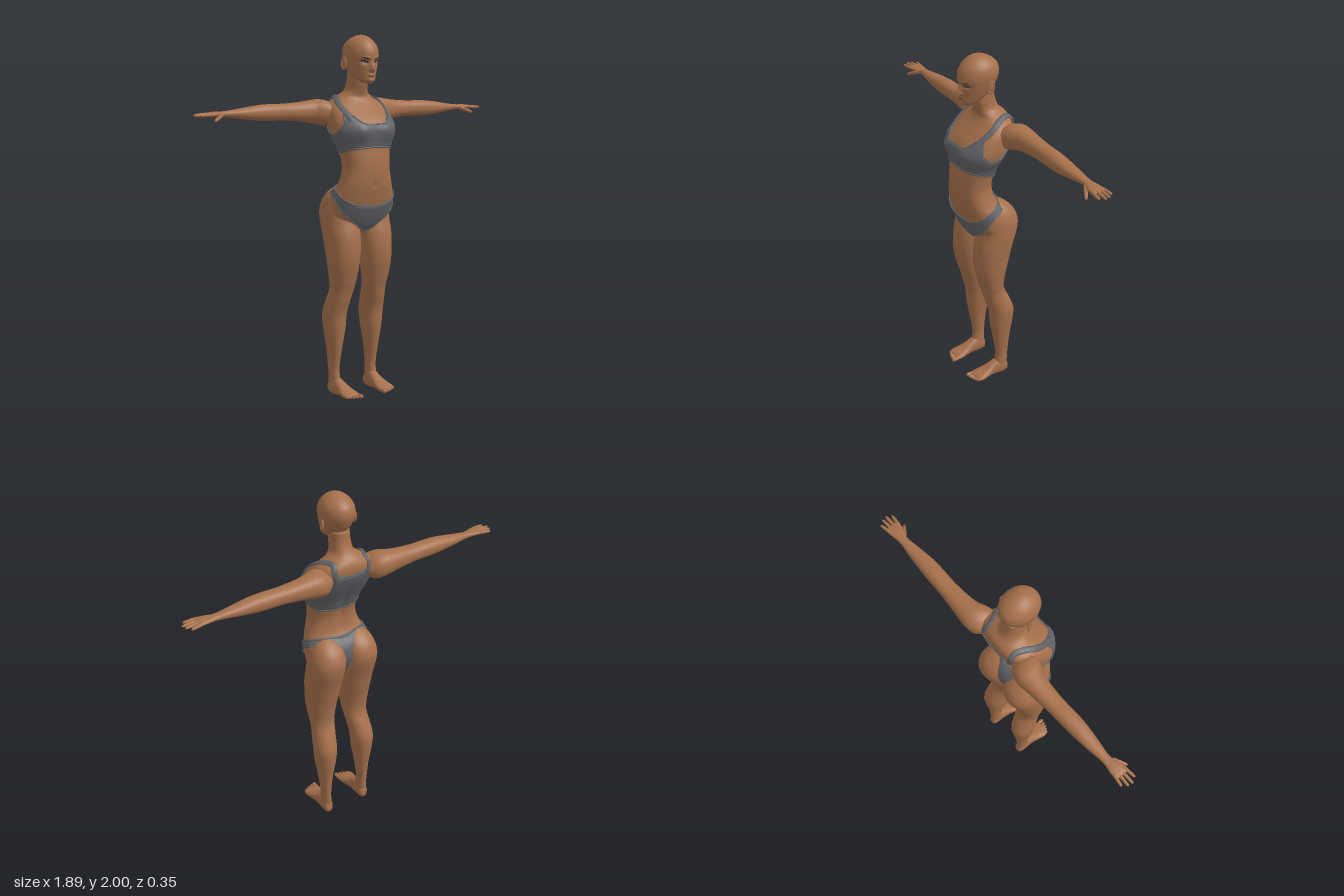
import * as THREE from 'three';

const mat = (name, color, side = THREE.FrontSide) => {
  const m = new THREE.MeshStandardMaterial({ color, side });
  m.name = name;
  return m;
};

// Smooth interpolation of rows [t, ...values] at t
function sample(rows, t) {
  const last = rows.length - 1;
  t = Math.min(Math.max(t, rows[0][0]), rows[last][0]);
  let i = 0;
  while (i < last - 1 && t > rows[i + 1][0]) i++;
  const a = rows[i], b = rows[i + 1], h = b[0] - a[0], s = (t - a[0]) / h;
  const slope = (j, k) => {
    const p = rows[Math.max(j - 1, 0)], q = rows[Math.min(j + 1, last)];
    return (q[k] - p[k]) / (q[0] - p[0]);
  };
  return a.map((_, k) => k === 0 ? t :
    (2 * s ** 3 - 3 * s * s + 1) * a[k] + (s ** 3 - 2 * s * s + s) * h * slope(i, k)
    + (3 * s * s - 2 * s ** 3) * b[k] + (s ** 3 - s * s) * h * slope(i + 1, k));
}

// Grid of points fn(row, col); closed grids wrap around the columns
function grid(nRows, nCols, fn, closed = true) {
  const pos = [], idx = [], w = closed ? nCols : nCols + 1;
  for (let i = 0; i <= nRows; i++)
    for (let j = 0; j < w; j++) pos.push(...fn(i, j).toArray());
  for (let i = 0; i < nRows; i++)
    for (let j = 0; j < nCols; j++) {
      const k = (j + 1) % w, a = i * w + j, b = i * w + k;
      idx.push(a, b, a + w, b, b + w, a + w);
    }
  const g = new THREE.BufferGeometry();
  g.setAttribute('position', new THREE.Float32BufferAttribute(pos, 3));
  g.setIndex(idx);
  g.computeVertexNormals();
  return g;
}

// Body surface: rows are [t, a0, a1, b0, b1], bounds of the cross-section.
// axis y: a = z, b = x; axis x: a = y, b = z; axis z: a = x, b = y
function surface(rows, axis, n = 2, shape = null) {
  const pow = v => Math.sign(v) * Math.abs(v) ** (2 / n);
  const f = (t, ang, scale = 1) => {
    const [u, a0, a1, b0, b1] = sample(rows, t);
    const a = (a0 + a1) / 2 + (a1 - a0) / 2 * pow(Math.cos(ang)) * scale;
    const b = (b0 + b1) / 2 + (b1 - b0) / 2 * pow(Math.sin(ang)) * scale;
    const p = axis === 'y' ? new THREE.Vector3(b, u, a)
      : axis === 'x' ? new THREE.Vector3(u, a, b) : new THREE.Vector3(a, b, u);
    if (shape) shape(p, ang);
    return p;
  };
  f.rows = rows;
  f.normal = (t, ang) => {
    const e = 0.004, dt = f(t + e, ang).sub(f(t - e, ang));
    return f(t, ang + e).sub(f(t, ang - e)).cross(dt).normalize();
  };
  return f;
}

// Closed skin over a surface
function skinOf(f, cols, per) {
  const r = f.rows, n = (r.length - 1) * per;
  return grid(n + 2, cols, (i, j) => {
    const k = Math.min(Math.max(i - 1, 0), n), s = Math.min(Math.floor(k / per), r.length - 2);
    const t = r[s][0] + (r[s + 1][0] - r[s][0]) * (k / per - s);
    return f(t, j / cols * Math.PI * 2, i === 0 || i === n + 2 ? 0 : 1);
  });
}

// Fitted cloth between two height curves given as [degrees from front, y]
function cover(f, low, high) {
  const N = 24, C = 120;
  return grid(N, C, (i, j) => {
    const ang = j / C * Math.PI * 2, d = Math.abs(j / C * 360 > 180 ? 360 - j / C * 360 : j / C * 360);
    const t = THREE.MathUtils.lerp(sample(low, d)[1], sample(high, d)[1], i / N);
    return f(t, ang).addScaledVector(f.normal(t, ang), i === 0 || i === N ? -0.003 : 0.007);
  });
}

// Flattened band laid on a surface along path(u) = [degrees, y]
function band(f, path, w, h, lift, segs = 48) {
  const at = u => {
    const [d, t] = path(u), a = d * Math.PI / 180, n = f.normal(t, a);
    return { p: f(t, a).addScaledVector(n, lift), n };
  };
  return grid(segs, 8, (i, j) => {
    const u = i / segs, { p, n } = at(u), phi = j / 8 * Math.PI * 2;
    const dir = at(Math.min(u + 0.01, 1)).p.sub(at(Math.max(u - 0.01, 0)).p);
    const side = dir.cross(n).normalize();
    return p.addScaledVector(side, w * Math.cos(phi)).addScaledVector(n, h * Math.sin(phi));
  });
}

function mirrored(g) {
  const m = g.clone().scale(-1, 1, 1), ix = m.index.array;
  for (let i = 0; i < ix.length; i += 3) [ix[i], ix[i + 1]] = [ix[i + 1], ix[i]];
  m.computeVertexNormals();
  return m;
}

export function createModel() {
  const model = new THREE.Group();
  const skin = mat('skin', 0xa6704b), cloth = mat('greyCloth', 0x626367, THREE.DoubleSide);
  const dark = mat('darkLashes', 0x35292a), lip = mat('lips', 0x87533f), eye = mat('eyeGrey', 0x94a0aa);
  const add = (name, g, m) => {
    const mesh = new THREE.Mesh(g, m);
    mesh.name = name;
    model.add(mesh);
  };
  const pair = (name, g, m) => { add(name + 'Left', g, m); add(name + 'Right', mirrored(g), m); };
  const bump = (x, y, sx, sy) => Math.exp(-((x / sx) ** 2) - (y / sy) ** 2);

  // Torso and neck: [y, half width, front z, back z]
  const torso = surface([
    [0.925, 0.03, 0.03, -0.03], [0.945, 0.07, 0.052, -0.05], [0.975, 0.125, 0.077, -0.07], [1.02, 0.178, 0.1, -0.095],
    [1.08, 0.19, 0.124, -0.11], [1.14, 0.184, 0.14, -0.095], [1.2, 0.16, 0.153, -0.045], [1.28, 0.139, 0.157, -0.03],
    [1.35, 0.143, 0.152, -0.04], [1.41, 0.155, 0.145, -0.06], [1.46, 0.178, 0.153, -0.085], [1.5, 0.187, 0.155, -0.107],
    [1.55, 0.184, 0.13, -0.13], [1.6, 0.175, 0.08, -0.145], [1.64, 0.148, 0.04, -0.145], [1.67, 0.1, 0.022, -0.132],
    [1.7, 0.062, 0.03, -0.102], [1.75, 0.053, 0.045, -0.08], [1.81, 0.05, 0.05, -0.07],
  ].map(([y, w, f, b]) => [y, b, f, -w, w]), 'y', 2.35, (p, ang) => {
    const front = Math.max(Math.cos(ang), 0), back = Math.max(-Math.cos(ang), 0);
    p.z += front * (0.015 * bump(Math.abs(p.x) - 0.085, p.y - 1.49, 0.05, 0.05) - 0.008 * bump(p.x, p.y - 1.2, 0.012, 0.014));
    p.z += back * 0.01 * bump(p.x, p.y - 1.36, 0.02, 0.16);
  });
  add('torso', skinOf(torso, 80, 5), skin);

  // Head with brow, eye sockets, nose, lips and chin
  const headRows = [
    [1.742, 0.022, 0.102, 0.06], [1.757, 0.044, 0.113, 0.025], [1.785, 0.062, 0.115, -0.03], [1.82, 0.076, 0.117, -0.065],
    [1.86, 0.086, 0.121, -0.088], [1.9, 0.091, 0.125, -0.1], [1.94, 0.084, 0.112, -0.093], [1.967, 0.067, 0.09, -0.07],
    [1.985, 0.046, 0.066, -0.042], [1.996, 0.024, 0.042, -0.012], [2, 0.004, 0.02, 0.012],
  ].map(([y, w, f, b]) => [y, b, f, -w, w]);
  const noseLine = [[1.795, 0], [1.803, 0.006], [1.813, 0.026], [1.825, 0.023], [1.85, 0.008], [1.875, 0]];
  const head = surface(headRows, 'y', 2, (p, ang) => {
    if (Math.cos(ang) <= 0) return;
    const ax = Math.abs(p.x);
    p.z += sample(noseLine, p.y)[1] * Math.exp(-((p.x / 0.012) ** 2))
      + 0.007 * bump(ax - 0.012, p.y - 1.811, 0.007, 0.008)
      + 0.005 * bump(ax - 0.035, p.y - 1.876, 0.03, 0.008)
      - 0.012 * bump(ax - 0.036, p.y - 1.856, 0.018, 0.012)
      + 0.007 * bump(p.x, p.y - 1.784, 0.022, 0.009)
      + 0.006 * bump(p.x, p.y - 1.757, 0.02, 0.011);
  });
  add('head', skinOf(head, 112, 9), skin);

  // Thin painted face patches following the head
  const patch = (name, m, x, y, w, h, tilt, lift) => {
    const g = new THREE.RingGeometry(0.001, 1, 28, 4), pos = g.attributes.position;
    for (let i = 0; i < pos.count; i++) {
      const u = pos.getX(i), px = x + u * w, py = y + pos.getY(i) * h + u * tilt;
      const ang = Math.asin(px / sample(headRows, py)[4]);
      pos.setXYZ(i, px, py, head(py, ang).z + lift);
    }
    g.computeVertexNormals();
    add(name, g, m);
  };
  for (const [s, side] of [[1, 'Left'], [-1, 'Right']]) {
    patch('eyebrow' + side, dark, s * 0.038, 1.876, 0.021, 0.0028, s * 0.006, 0.0015);
    patch('eyelid' + side, dark, s * 0.037, 1.857, 0.018, 0.0075, s * 0.003, 0.0015);
    patch('eyeball' + side, eye, s * 0.037, 1.856, 0.012, 0.004, s * 0.002, 0.0025);
    patch('iris' + side, dark, s * 0.036, 1.856, 0.004, 0.004, 0, 0.0035);
  }
  patch('mouth', lip, 0, 1.784, 0.021, 0.0065, 0, 0.001);
  patch('mouthLine', dark, 0, 1.784, 0.019, 0.0009, 0, 0.002);

  // Ears
  const place = g => g.rotateY(Math.PI / 2 - 0.35).rotateX(-0.12).translate(0.094, 1.848, -0.005);
  pair('ear', place(new THREE.SphereGeometry(1, 20, 14).scale(0.018, 0.03, 0.007)), skin);
  pair('earRim', place(new THREE.TorusGeometry(0.017, 0.004, 8, 24).scale(1, 1.7, 1).translate(0, 0, 0.004)), skin);

  // Legs with buttocks: [y, back z, front z, inner x, outer x]
  pair('leg', skinOf(surface([
    [0.04, -0.104, -0.03, 0.096, 0.15], [0.08, -0.104, -0.022, 0.096, 0.152], [0.15, -0.105, -0.03, 0.099, 0.154],
    [0.28, -0.115, -0.01, 0.085, 0.168], [0.38, -0.129, 0.005, 0.068, 0.183], [0.47, -0.133, 0.013, 0.06, 0.19],
    [0.55, -0.105, 0.036, 0.052, 0.183], [0.61, -0.078, 0.052, 0.042, 0.178], [0.66, -0.071, 0.068, 0.035, 0.184],
    [0.75, -0.085, 0.09, 0.022, 0.195], [0.83, -0.105, 0.097, 0.012, 0.2], [0.92, -0.126, 0.089, 0.005, 0.206],
    [1.0, -0.15, 0.068, 0.001, 0.208], [1.06, -0.157, 0.062, 0.001, 0.205], [1.12, -0.136, 0.055, 0.006, 0.189],
    [1.165, -0.092, 0.03, 0.03, 0.16], [1.19, -0.05, 0, 0.07, 0.12],
  ], 'y', 2.15), 48, 5), skin);

  // Feet and toes
  pair('foot', skinOf(surface([
    [-0.109, 0.112, 0.135, 0.02, 0.045], [-0.1, 0.1, 0.147, 0.006, 0.075], [-0.07, 0.094, 0.153, 0, 0.1],
    [-0.03, 0.09, 0.154, 0.004, 0.102], [0.01, 0.084, 0.157, 0.01, 0.082], [0.05, 0.075, 0.165, 0.012, 0.062],
    [0.09, 0.069, 0.17, 0.014, 0.049], [0.115, 0.075, 0.162, 0.02, 0.04],
  ], 'z', 2.3), 32, 5), skin);
  [[0.081, 0.147, 0.0125], [0.104, 0.142, 0.0095], [0.122, 0.136, 0.009], [0.139, 0.129, 0.0085], [0.155, 0.121, 0.008]].forEach(([x, tip, r], i) => {
    const row = (z, k) => [z, x - r * k, x + r * k, 0.029 - r * k, 0.029 + r * k];
    pair('toe' + (i + 1), skinOf(surface([row(0.085, 0.8), row(tip - 0.014, 0.95), row(tip - 0.006, 0.9), row(tip, 0.3)], 'z'), 12, 4), skin);
  });

  // Arms to the palm: [x, low y, high y, back z, front z]
  pair('arm', skinOf(surface([
    [0.1, 1.56, 1.6, -0.12, -0.05], [0.15, 1.515, 1.643, -0.162, -0.012], [0.2, 1.518, 1.657, -0.175, -0.022],
    [0.25, 1.529, 1.652, -0.172, -0.045], [0.32, 1.54, 1.643, -0.165, -0.056], [0.42, 1.548, 1.637, -0.157, -0.062],
    [0.5, 1.548, 1.637, -0.155, -0.06], [0.58, 1.552, 1.632, -0.151, -0.061], [0.68, 1.565, 1.618, -0.142, -0.072],
    [0.76, 1.575, 1.608, -0.132, -0.083], [0.79, 1.577, 1.606, -0.132, -0.08], [0.83, 1.578, 1.606, -0.138, -0.066],
    [0.865, 1.581, 1.602, -0.14, -0.062], [0.882, 1.587, 1.597, -0.132, -0.07],
  ], 'x', 2.2), 36, 5), skin);

  // Fingers and thumb: base and tip points with radius
  const finger = (name, [x0, y0, z0], [x1, y1, z1], r) => {
    const row = (k, s) => {
      const y = y0 + (y1 - y0) * k, z = z0 + (z1 - z0) * k;
      return [x0 + (x1 - x0) * k, y - r * s, y + r * s, z - r * s, z + r * s];
    };
    pair(name, skinOf(surface([row(0, 1), row(0.5, 0.95), row(0.85, 0.8), row(0.95, 0.6), row(1, 0.2)], 'x'), 12, 4), skin);
  };
  [[-0.07, -0.062, 0.928], [-0.091, -0.09, 0.945], [-0.111, -0.115, 0.94], [-0.131, -0.141, 0.92]].forEach(([z0, z1, tip], i) =>
    finger('finger' + (i + 1), [0.855, 1.592, z0], [tip, 1.588, z1], 0.0095));
  finger('thumb', [0.79, 1.588, -0.085], [0.857, 1.56, -0.042], 0.012);

  // Sports top: fitted body, hem, neckline edge and shoulder straps
  const topHem = [[0, 1.405], [60, 1.392], [120, 1.363], [180, 1.35]];
  const topEdge = [[0, 1.525], [20, 1.532], [36, 1.575], [48, 1.585], [62, 1.515], [90, 1.475], [118, 1.5], [138, 1.57], [152, 1.605], [180, 1.6]];
  add('topBody', cover(torso, topHem, topEdge), cloth);
  const around = rows => u => {
    const d = u * 360 - 180;
    return [d, sample(rows, Math.abs(d))[1]];
  };
  add('topHem', band(torso, around(topHem), 0.005, 0.003, 0.006, 120), cloth);
  add('topEdge', band(torso, around(topEdge), 0.004, 0.003, 0.006, 160), cloth);
  const strap = [[0, 38, 1.54], [0.2, 46, 1.59], [0.4, 66, 1.642], [0.6, 100, 1.665], [0.75, 130, 1.657], [0.88, 146, 1.62], [1, 155, 1.57]];
  pair('strap', band(torso, u => sample(strap, u).slice(1), 0.016, 0.005, 0.007), cloth);

  // Briefs: narrow back, high sides, piped edges
  const briefLow = [[0, 0.935], [20, 0.96], [33, 1.0], [53, 1.05], [72, 1.1], [90, 1.135], [115, 1.153], [140, 1.152], [158, 1.13], [170, 1.06], [176, 0.98], [180, 0.955]];
  const briefHigh = [[0, 1.083], [30, 1.095], [60, 1.13], [90, 1.165], [120, 1.183], [150, 1.188], [180, 1.183]];
  add('briefs', cover(torso, briefLow, briefHigh), cloth);
  add('briefsWaistband', band(torso, around(briefHigh), 0.006, 0.004, 0.007, 120), cloth);
  add('briefsLegEdge', band(torso, around(briefLow), 0.004, 0.003, 0.007, 160), cloth);

  return model;
}
